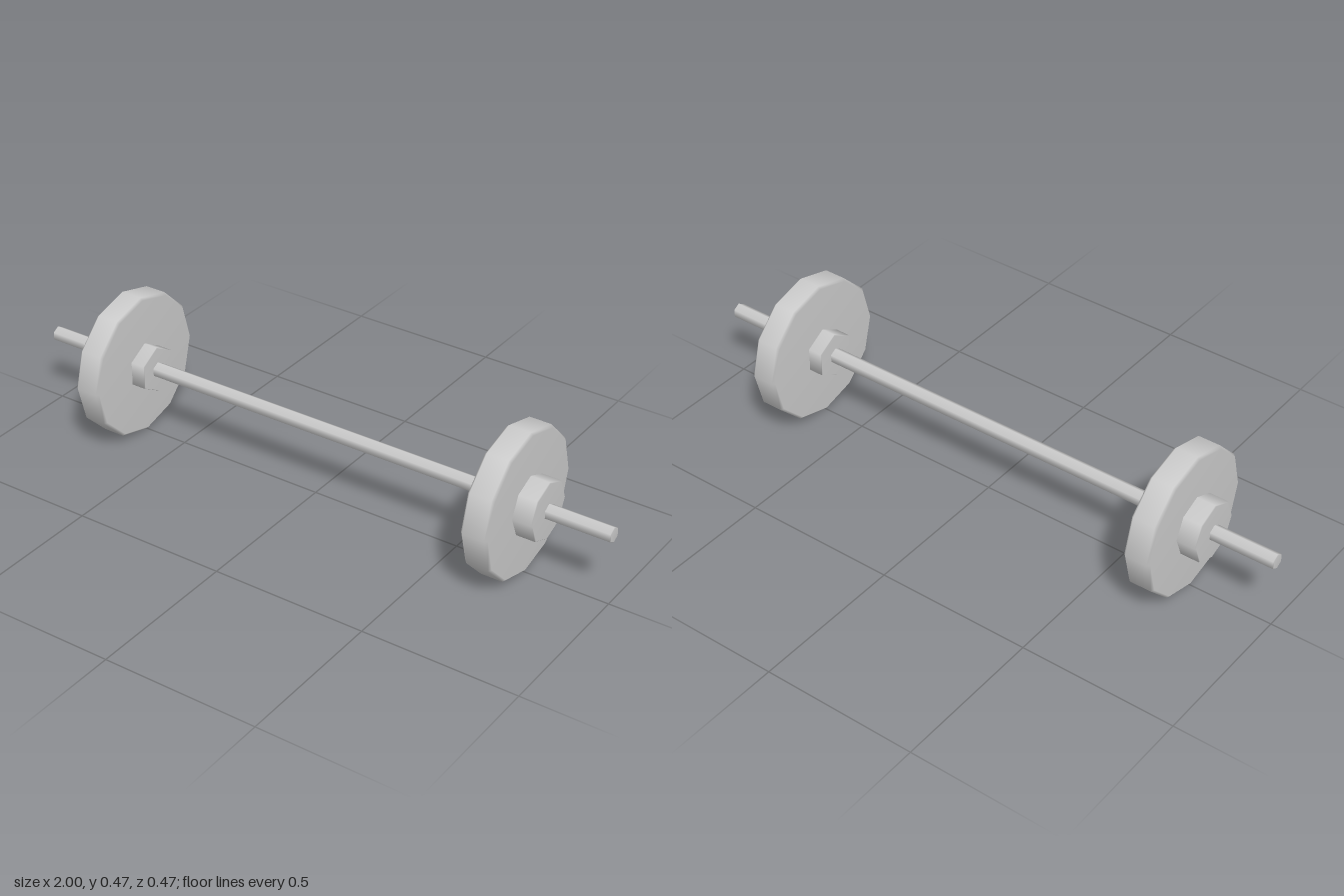
import * as THREE from 'three';

const AXIS_Y = 0.234;
const material = new THREE.MeshStandardMaterial({ color: 0xcccccc });

// Low-poly disc along x from x0 to x1, a corner pointing up, with bevelled rims
function disc(name, x0, x1, radius, sides, bevel) {
  const profile = [
    [0, x0],
    [radius - bevel, x0],
    [radius, x0 + bevel],
    [radius, x1 - bevel],
    [radius - bevel, x1],
    [0, x1],
  ].map(([r, x]) => new THREE.Vector2(r, x));
  const geometry = new THREE.LatheGeometry(profile, sides, Math.PI / 2);
  geometry.rotateZ(-Math.PI / 2);
  const mesh = new THREE.Mesh(geometry, material);
  mesh.name = name;
  return mesh;
}

// Plate with its inner stop and outer collar
function weight(name) {
  const group = new THREE.Group();
  group.name = name;
  group.add(
    disc('innerStop', 0.595, 0.65, 0.077, 6, 0.002),
    disc('plate', 0.644, 0.73, 0.234, 12, 0.008),
    disc('outerCollar', 0.725, 0.793, 0.095, 8, 0.003),
  );
  return group;
}

export function createModel() {
  const model = new THREE.Group();
  model.name = 'barbell';

  const assembly = new THREE.Group();
  assembly.name = 'barAndWeights';
  assembly.position.y = AXIS_Y;
  model.add(assembly);

  // Hexagonal bar
  assembly.add(disc('bar', -1, 1, 0.025, 6, 0.002));

  // Matching weights at both ends
  const left = weight('leftWeight');
  const right = weight('rightWeight');
  right.rotation.y = Math.PI;
  assembly.add(left, right);

  return model;
}
